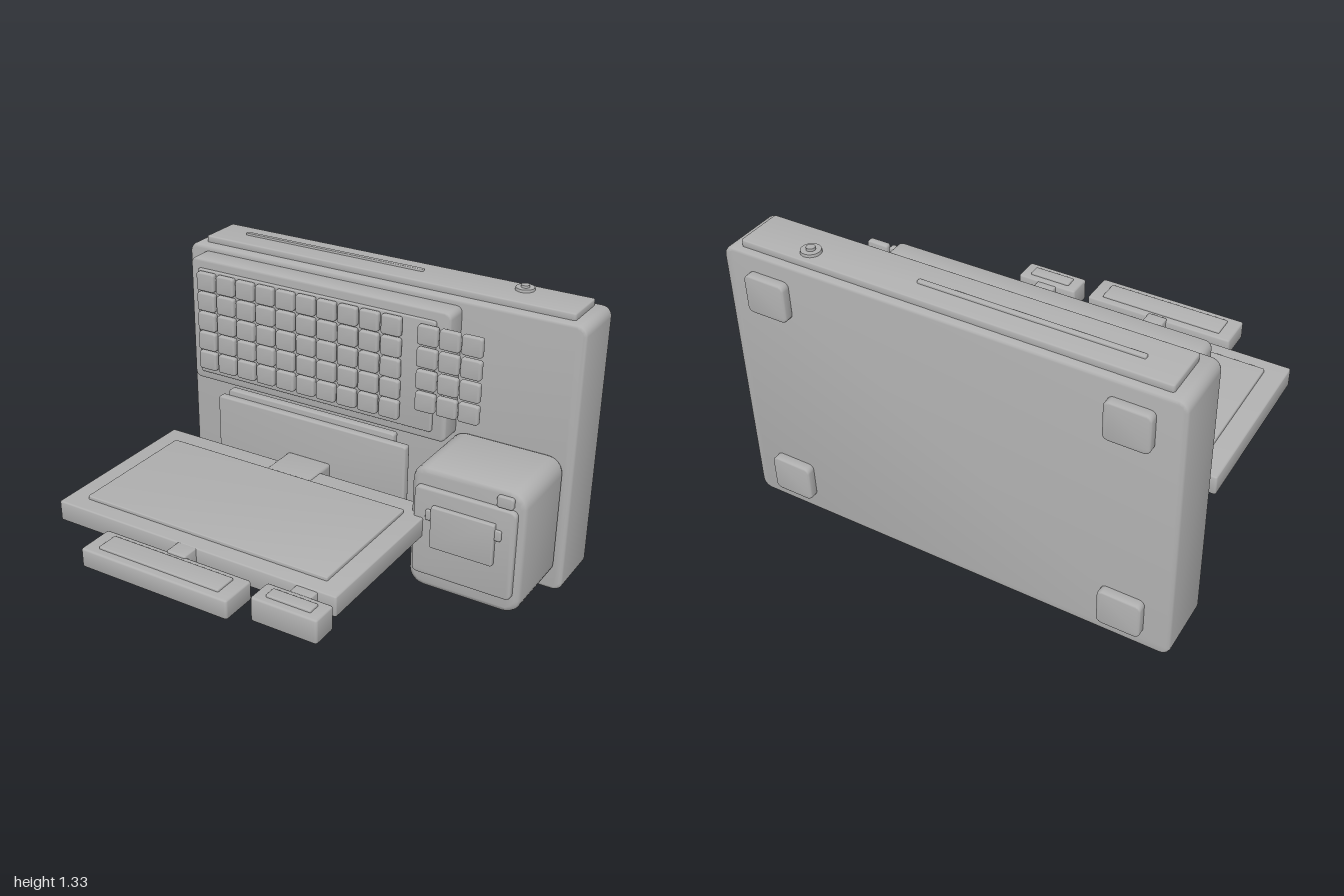
import * as THREE from 'three';
import { mergeVertices } from 'three/addons/utils/BufferGeometryUtils.js';

// Share vertices and average face normals equally, for soft shading over the bevels
function soften(geo) {
  geo.deleteAttribute('uv');
  geo.deleteAttribute('normal');
  geo.clearGroups();
  const g = mergeVertices(geo, 1e-4);
  const pos = g.attributes.position, idx = g.index;
  const sums = Array.from({ length: pos.count }, () => new THREE.Vector3());
  const p = [new THREE.Vector3(), new THREE.Vector3(), new THREE.Vector3()];
  for (let i = 0; i < idx.count; i += 3) {
    p.forEach((v, k) => v.fromBufferAttribute(pos, idx.getX(i + k)));
    const n = p[1].clone().sub(p[0]).cross(p[2].clone().sub(p[0]));
    if (n.lengthSq() < 1e-16) continue;
    n.normalize();
    for (let k = 0; k < 3; k++) sums[idx.getX(i + k)].add(n);
  }
  const normals = new Float32Array(pos.count * 3);
  sums.forEach((n, i) => n.normalize().toArray(normals, i * 3));
  g.setAttribute('normal', new THREE.BufferAttribute(normals, 3));
  return g;
}

// Rounded rectangle w by h, thickness d along z, corner radius r, edge bevel b
function slab(w, h, d, r, b) {
  const x = w / 2 - r, y = h / 2 - r, s = new THREE.Shape();
  s.absarc(x, y, r, 0, Math.PI / 2);
  s.absarc(-x, y, r, Math.PI / 2, Math.PI);
  s.absarc(-x, -y, r, Math.PI, Math.PI * 1.5);
  s.absarc(x, -y, r, Math.PI * 1.5, Math.PI * 2);
  const g = new THREE.ExtrudeGeometry(s, {
    depth: d - 2 * b, curveSegments: 3, bevelEnabled: true,
    bevelThickness: b, bevelSize: b, bevelOffset: -b, bevelSegments: 2,
  });
  g.translate(0, 0, b - d / 2);
  return soften(g);
}

export function createModel() {
  const model = new THREE.Group();
  const grey = new THREE.MeshStandardMaterial({ color: 0xb0b0b0 });
  grey.name = 'plain grey';

  // Bevelled block from its bounds; facing is the axis its rounded outline faces
  function block(name, [x0, x1], [y0, y1], [z0, z1], r, b, facing = 'z') {
    const w = x1 - x0, h = y1 - y0, d = z1 - z0;
    const g = facing === 'z' ? slab(w, h, d, r, b) : slab(w, d, h, r, b).rotateX(-Math.PI / 2);
    const mesh = new THREE.Mesh(g, grey);
    mesh.name = name;
    mesh.position.set((x0 + x1) / 2, (y0 + y1) / 2, (z0 + z1) / 2);
    model.add(mesh);
    return mesh;
  }

  // Main case with four feet on its back
  block('case', [-1, 1], [0, 1.28], [-0.805, -0.52], 0.045, 0.015);
  for (const x of [-0.79, 0.785])
    for (const y of [0.168, 1.115])
      block('foot', [x - 0.095, x + 0.095], [y - 0.087, y + 0.087], [-0.845, -0.8], 0.025, 0.008);

  // Top plate with slot and round button
  block('topPlate', [-0.93, 0.93], [1.27, 1.31], [-0.775, -0.562], 0.012, 0.006, 'y');
  block('topSlot', [-0.78, 0.165], [1.3, 1.32], [-0.69, -0.668], 0.006, 0.003, 'y');
  for (const [name, r, y] of [['button', 0.045, 1.322], ['buttonCap', 0.02, 1.333]]) {
    const mesh = new THREE.Mesh(new THREE.CylinderGeometry(r * 0.92, r, 0.025, 24), grey);
    mesh.name = name;
    mesh.position.set(0.637, y - 0.0125, -0.71);
    model.add(mesh);
  }

  // Keyboard
  block('keyboardBase', [-0.915, 0.44], [0.645, 1.255], [-0.525, -0.412], 0.03, 0.01);
  block('keyboardPlate', [-0.87, 0.375], [0.688, 1.21], [-0.42, -0.397], 0.012, 0.005);
  const keyGeo = slab(0.096, 0.09, 0.03, 0.012, 0.007);
  function keys(name, cols, rows, x, y, dx, dy) {
    const group = new THREE.Group();
    group.name = name;
    for (let i = 0; i < cols; i++)
      for (let j = 0; j < rows; j++) {
        const key = new THREE.Mesh(keyGeo, grey);
        key.name = 'key';
        key.position.set(x + i * dx, y - j * dy, -0.381);
        group.add(key);
      }
    model.add(group);
  }
  keys('mainKeys', 10, 5, -0.807, 1.16, 0.109, 0.099);
  keys('numberKeys', 3, 4, 0.352, 1.15, 0.105, 0.104);

  // Upright panel, two layers
  block('panelBack', [-0.665, 0.225], [0.185, 0.663], [-0.375, -0.335], 0.012, 0.005);
  block('panelFront', [-0.7, 0.305], [0.215, 0.635], [-0.34, -0.3], 0.012, 0.006);

  // Flat tray on its neck
  block('neck', [-0.31, -0.08], [0.245, 0.445], [-0.305, 0.07], 0.015, 0.01);
  block('tray', [-0.915, 0.5], [0.342, 0.436], [-0.22, 0.605], 0.01, 0.006, 'y');
  block('trayInset', [-0.82, 0.41], [0.425, 0.452], [-0.11, 0.525], 0.008, 0.004, 'y');

  // Two bars joined to the tray's front edge
  block('barLink', [-0.27, -0.175], [0.33, 0.435], [0.59, 0.68], 0.008, 0.005, 'y');
  block('bar', [-0.59, 0.145], [0.337, 0.425], [0.667, 0.843], 0.012, 0.008, 'y');
  block('barInset', [-0.525, 0.08], [0.415, 0.435], [0.7, 0.805], 0.006, 0.004, 'y');
  block('smallBarLink', [0.315, 0.415], [0.33, 0.43], [0.59, 0.665], 0.008, 0.005, 'y');
  block('smallBar', [0.213, 0.52], [0.325, 0.435], [0.655, 0.78], 0.012, 0.008, 'y');
  block('smallBarInset', [0.263, 0.47], [0.425, 0.445], [0.687, 0.745], 0.006, 0.004, 'y');

  // Side box with its front panel, window and button
  block('sideBox', [0.425, 0.957], [0.075, 0.67], [-0.53, -0.137], 0.075, 0.025);
  block('sideBoxPanel', [0.453, 0.925], [0.157, 0.585], [-0.145, -0.112], 0.025, 0.008);
  block('windowBar', [0.515, 0.867], [0.438, 0.488], [-0.115, -0.1], 0.008, 0.004);
  block('window', [0.545, 0.84], [0.315, 0.515], [-0.115, -0.088], 0.008, 0.005);
  block('boxButton', [0.83, 0.905], [0.59, 0.643], [-0.145, -0.118], 0.012, 0.005);

  return model;
}
